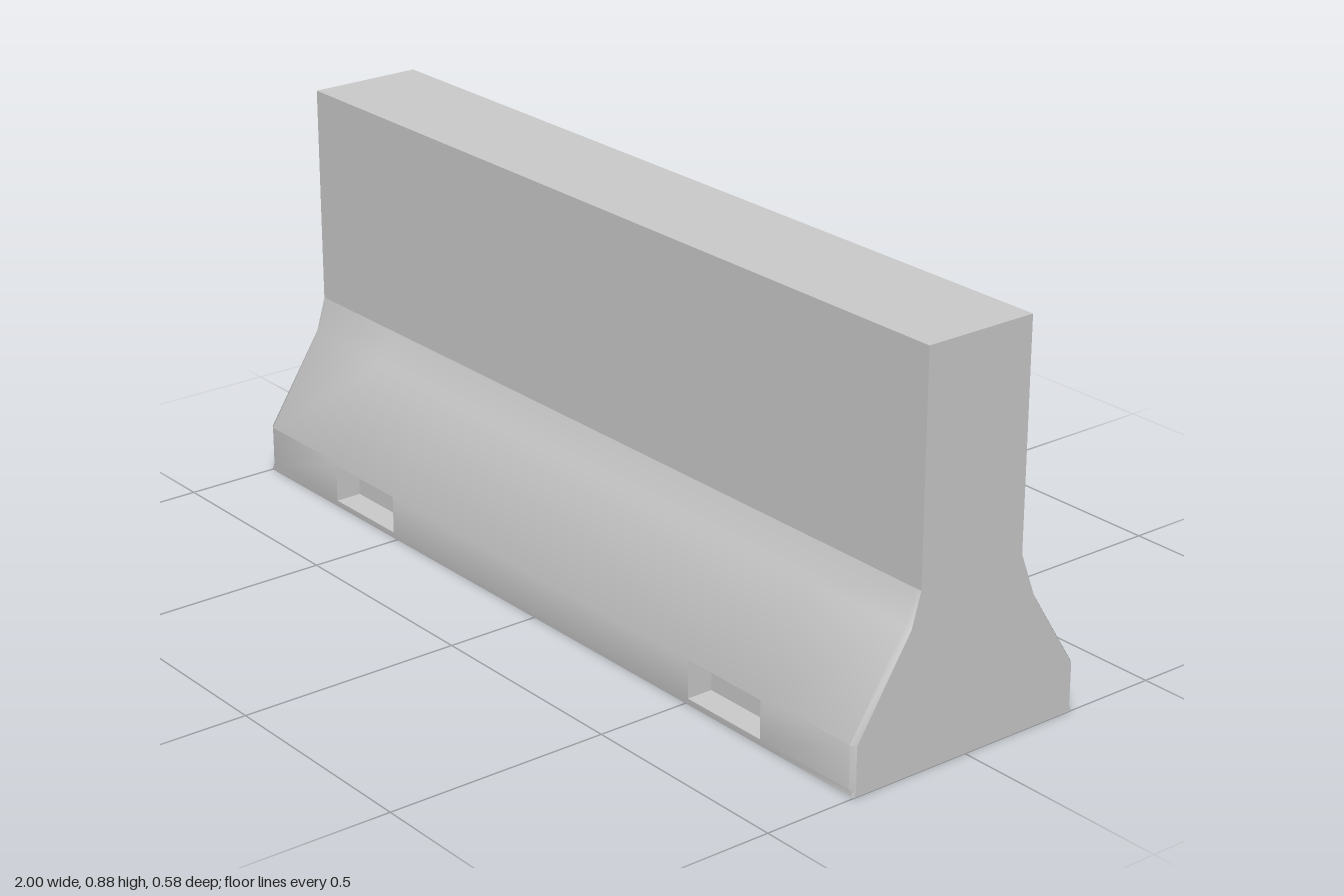
import * as THREE from 'three';
import { toCreasedNormals } from 'three/addons/utils/BufferGeometryUtils.js';

// Joins rows of points (one row per x station) into a skin with closed ends.
function loft(rows, crease) {
  const pos = [];
  const tri = (a, b, c) => {
    const area = b.clone().sub(a).cross(c.clone().sub(a)).length();
    if (area > 1e-8) for (const p of [a, b, c]) pos.push(p.x, p.y, p.z);
  };
  for (let i = 0; i < rows.length - 1; i++) {
    for (let j = 0; j < rows[i].length - 1; j++) {
      const a = rows[i][j], b = rows[i + 1][j], c = rows[i + 1][j + 1], d = rows[i][j + 1];
      tri(a, b, c);
      tri(a, c, d);
    }
  }
  const cap = (row, flip) => {
    const pts = row.filter((p, k) => k === 0 || p.distanceTo(row[k - 1]) > 1e-5);
    const flat = pts.map((p) => new THREE.Vector2(p.z, p.y));
    for (const [a, b, c] of THREE.ShapeUtils.triangulateShape(flat, [])) {
      if (flip) tri(pts[a], pts[c], pts[b]);
      else tri(pts[a], pts[b], pts[c]);
    }
  };
  cap(rows[0], false);
  cap(rows[rows.length - 1], true);
  const geo = new THREE.BufferGeometry();
  geo.setAttribute('position', new THREE.Float32BufferAttribute(pos, 3));
  return toCreasedNormals(geo, crease);
}

// Cross-section of the flared skirt: down the back, under, up the front.
function skirtRow(x, notched, inset) {
  const n = notched ? 0.06 : 0;
  const side = (s, kinkZ, shoulderZ, shoulderY) => [
    [0.288, 0], [0.29, 0.015], [0.29 - n, 0.015], [0.29 - n, 0.1], [0.29, 0.1],
    [0.29, 0.108], [shoulderZ, shoulderY], [kinkZ, 0.385],
  ].map(([z, y], k) => {
    const shrink = k > 0 && k < 7 ? inset : 0;
    return new THREE.Vector3(x, y, s * (z - shrink));
  });
  return [...side(-1, 0.132, 0.178, 0.285).reverse(), ...side(1, 0.13, 0.16, 0.31)];
}

// Cross-section of the upright wall: up the front, over, down the back.
function wallRow(x) {
  return [[0.13, 0.385], [0.13, 0.877], [-0.132, 0.877], [-0.132, 0.385]]
    .map(([z, y]) => new THREE.Vector3(x, y, z));
}

export function createModel() {
  const group = new THREE.Group();
  group.name = 'concreteBarrier';
  const material = new THREE.MeshStandardMaterial({ color: 0xcccccc });
  const add = (name, geometry) => {
    const mesh = new THREE.Mesh(geometry, material);
    mesh.name = name;
    group.add(mesh);
  };

  // Skirt with chamfered ends and two lifting slots per side
  const stations = [
    [-1, false, 0.008], [-0.988, false, 0],
    [-0.73, false, 0], [-0.73, true, 0], [-0.51, true, 0], [-0.51, false, 0],
    [0.51, false, 0], [0.51, true, 0], [0.73, true, 0], [0.73, false, 0],
    [0.988, false, 0], [1, false, 0.008],
  ];
  add('flaredSkirt', loft(stations.map((s) => skirtRow(...s)), 0.6));

  // Upright wall
  add('uprightWall', loft([wallRow(-1), wallRow(1)], 0.3));
  return group;
}
